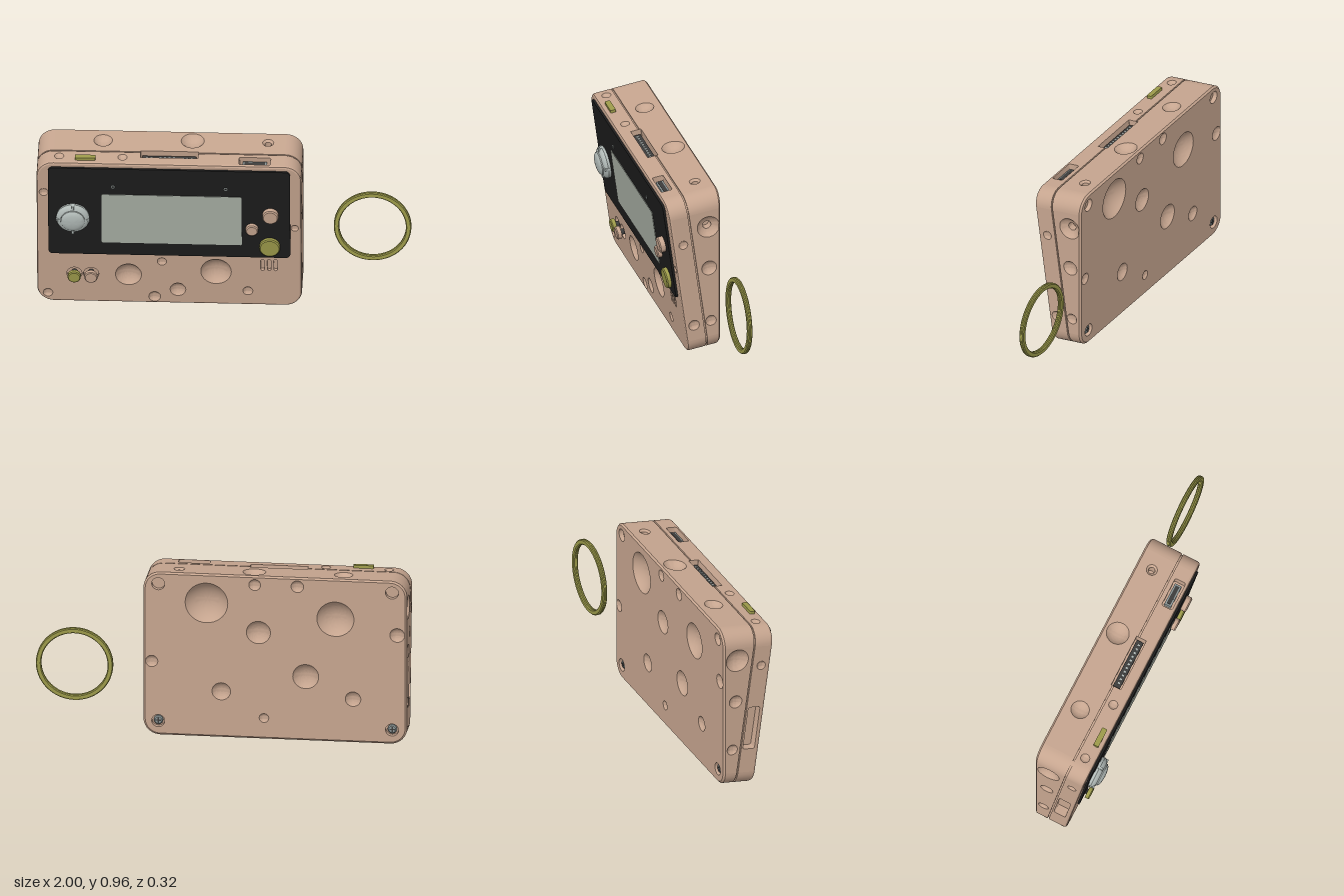
import * as THREE from 'three';
import { toCreasedNormals } from 'three/addons/utils/BufferGeometryUtils.js';

const paint = (name, color, side = THREE.FrontSide) => {
  const m = new THREE.MeshStandardMaterial({ color, side });
  m.name = name;
  return m;
};
const TAN = paint('tan plastic', 0xc6a58f, THREE.DoubleSide);
const BLACK = paint('black panel', 0x1c1c1c);
const SCREEN = paint('grey green screen', 0xa9b0a5);
const OLIVE = paint('olive', 0x9c9a4a);
const GREY = paint('light grey', 0xb2bbb8);
const DARK = paint('dark grey', 0x3c3c3b);
const METAL = paint('metal', 0x8a9494);

// Case outline, in a frame leaning back by TILT: x, v up the face, w out of the face
const TILT = 0.134, Z0 = 0.015, ZBACK = -0.16;
const C = Math.cos(TILT), S = Math.sin(TILT);
const X0 = -1, X1 = 0.42, V1 = 0.935, R = 0.09, N = 10;
const SLOT = [-0.445, -0.135];
const back = (v) => (ZBACK - Z0 - v * S) / C;
const toW = (z, y) => -y * S + (z - Z0) * C;
const toV = (z, y) => y * C + (z - Z0) * S;
const P = (x, y) => new THREE.Vector2(x, y);

function add(parent, name, geo, mat, x = 0, y = 0, z = 0) {
  const m = new THREE.Mesh(geo, mat);
  m.name = name;
  m.position.set(x, y, z);
  parent.add(m);
  return m;
}

function roundRect(x0, y0, x1, y1, r, n = 6) {
  const pts = [];
  [[x1 - r, y0 + r], [x1 - r, y1 - r], [x0 + r, y1 - r], [x0 + r, y0 + r]].forEach(([cx, cy], k) => {
    for (let i = 0; i <= n; i++) {
      const t = (k - 1 + i / n) * Math.PI / 2;
      pts.push(P(cx + r * Math.cos(t), cy + r * Math.sin(t)));
    }
  });
  return pts;
}
const circle = (x, y, r, n = 36) => Array.from({ length: n }, (_, i) =>
  P(x + r * Math.cos(i / n * 2 * Math.PI), y + r * Math.sin(i / n * 2 * Math.PI)));

function outline(inset) {
  const pts = roundRect(X0 + inset, inset, X1 - inset, V1 - inset, R - inset, N);
  pts.splice(2 * N + 2, 0, P(SLOT[1], V1 - inset), P(SLOT[0], V1 - inset));
  return pts;
}

// Surface through closed rings of points
function skin(rings, keep = () => true) {
  const pos = [];
  for (let k = 0; k + 1 < rings.length; k++) {
    const f = rings[k], g = rings[k + 1];
    f.forEach((a, j) => {
      const i = (j + 1) % f.length;
      if (keep(a, f[i])) for (const p of [a, g[j], g[i], a, g[i], f[i]]) pos.push(p.x, p.y, p.z);
    });
  }
  const geo = new THREE.BufferGeometry();
  geo.setAttribute('position', new THREE.Float32BufferAttribute(pos, 3));
  return toCreasedNormals(geo, 0.5);
}
const bodySkin = (levels, keep) => skin(levels.map(([inset, w]) =>
  outline(inset).map((p) => new THREE.Vector3(p.x, p.y, typeof w === 'number' ? w : w(p.y)))), keep);

// Turned part whose axis points out of the face
function turned(profile, n = 36) {
  const g = new THREE.LatheGeometry(profile.map(([r, h]) => P(r, h)), n);
  return toCreasedNormals(g.rotateX(Math.PI / 2), 0.5);
}
const button = (r, h, b = 0.006) => turned([[r, 0], [r, h - b], [r - b, h], [0, h]]);

// Flat panel with round dimples [x, y, radius, inner hole] and straight pits {pts, depth}
function panel(parent, name, pts, dimples = [], pits = []) {
  const g = new THREE.Group();
  g.name = name;
  parent.add(g);
  const shape = new THREE.Shape(pts);
  for (const [x, y, r] of dimples) shape.holes.push(new THREE.Path(circle(x, y, r)));
  for (const p of pits) if (!p.open) shape.holes.push(new THREE.Path(p.pts));
  add(g, name + 'Face', new THREE.ShapeGeometry(shape), TAN);
  for (const [x, y, r, hole = 0] of dimples) {
    const prof = [], d = 0.5 * r, q = (r * r + d * d) / (2 * d);
    for (let i = 0; i <= 10; i++) {
      const t = r + (hole - r) * i / 10;
      prof.push([t, q - d - Math.sqrt(q * q - t * t)]);
    }
    if (hole) prof.push([hole, -0.07], [0, -0.07]);
    add(g, 'dimple', turned(prof), TAN, x, y, 0);
  }
  for (const { pts: hole, depth } of pits) {
    const ring = (z) => [...hole].reverse().map((p) => new THREE.Vector3(p.x, p.y, z));
    add(g, 'recessWall', skin([ring(0), ring(-depth)]), TAN);
    add(g, 'recessFloor', new THREE.ShapeGeometry(new THREE.Shape(hole)), TAN, 0, 0, -depth);
  }
  return g;
}
const plate = (pts, depth) => new THREE.ExtrudeGeometry(new THREE.Shape(pts), { depth, bevelEnabled: false });

function buildCase(root, tilt) {
  const corner = (a, b) => Math.hypot(a.x - b.x, a.y - b.y) < 0.05;
  const rim = (v) => back(v) + 0.01;
  add(tilt, 'frontBevel', bodySkin([[0.012, 0], [0.004, -0.004], [0, -0.014]]), TAN);
  add(tilt, 'frontCorners', bodySkin([[0, -0.014], [0, -0.104]], corner), TAN);
  add(tilt, 'seamGroove', bodySkin([[0, -0.104], [0.008, -0.104], [0.008, -0.112], [0, -0.112]],
    (a, b) => !(a.x === SLOT[1] && b.x === SLOT[0])), TAN);
  add(tilt, 'rearCorners', bodySkin([[0, -0.112], [0, rim]], corner), TAN);
  add(tilt, 'backBevel', bodySkin([[0, rim], [0.01, back]]), TAN);

  // Front face with speaker slots and button wells
  panel(tilt, 'front', outline(0.012), [
    [-0.51, 0.19, 0.07], [-0.04, 0.222, 0.082], [-0.33, 0.282, 0.025], [-0.245, 0.096, 0.042],
    [0.13, 0.096, 0.027], [-0.962, 0.735, 0.024], [0.384, 0.525, 0.02], [-0.37, 0.045, 0.032], [-0.942, 0.058, 0.026],
  ], [
    ...[0.21, 0.245, 0.28].map((x) => ({ pts: roundRect(x - 0.01, 0.235, x + 0.01, 0.31, 0.0099), depth: 0.02 })),
    ...[-0.8, -0.71].map((x) => ({ pts: circle(x, 0.19, 0.041), depth: 0.02 })),
  ]);

  // Left and right sides
  const sideDimples = {
    1: { front: [[0.05, 0.68, 0.025], [-0.01, 0.185, 0.03]],
      rear: [[-0.09, 0.77, 0.062, 0.023], [-0.095, 0.52, 0.042], [-0.105, 0.2, 0.03]] },
    '-1': { front: [[0.06, 0.73, 0.025]], rear: [[-0.08, 0.79, 0.065], [-0.09, 0.54, 0.037], [-0.11, 0.25, 0.03]] },
  };
  for (const s of [1, -1]) {
    const side = new THREE.Group();
    side.name = s > 0 ? 'leftSide' : 'rightSide';
    side.rotation.y = s * Math.PI / 2;
    side.position.x = s > 0 ? X1 : X0;
    tilt.add(side);
    const a = R, b = V1 - R;
    const quad = (...q) => q.map(([w, v]) => P(-s * w, v));
    const dips = (list) => list.map(([z, y, ...r]) => [-s * toW(z, y), toV(z, y), ...r]);
    panel(side, 'sideFront', quad([-0.014, a], [-0.104, a], [-0.104, b], [-0.014, b]), dips(sideDimples[s].front),
      s < 0 ? [{ pts: roundRect(-0.094, 0.23, -0.026, 0.48, 0.01), depth: 0.05 }] : []);
    panel(side, 'sideRear', quad([-0.112, a], [rim(a), a], [rim(b), b], [-0.112, b]), dips(sideDimples[s].rear));
  }

  // Top with sockets
  const xa = X0 + R, xb = X1 - R, [sa, sb] = SLOT;
  const top = new THREE.Group();
  top.name = 'top';
  top.rotation.x = -Math.PI / 2;
  top.position.y = V1;
  tilt.add(top);
  panel(top, 'topFront', [[xa, 0.014], [xb, 0.014], [xb, 0.104], [sb, 0.104], [sb, 0.062], [sa, 0.062],
    [sa, 0.104], [xa, 0.104]].map((p) => P(...p)), [[-0.88, 0.06, 0.025], [-0.54, 0.06, 0.025]], [
    { pts: roundRect(sa, 0.062, sb, 0.12, 0.001, 1), depth: 0.06, open: true },
    { pts: roundRect(0.085, 0.018, 0.255, 0.08, 0.01), depth: 0.05 }]);
  const end = -rim(V1);
  panel(top, 'topRear', [[xa, 0.112], [sa, 0.112], [sa, 0.12], [sb, 0.12], [sb, 0.112], [xb, 0.112], [xb, end],
    [xa, end]].map((p) => P(...p)), [[-0.65, 0.205, 0.05], [-0.17, 0.217, 0.062], [0.235, 0.213, 0.03, 0.018]]);
  add(top, 'edgeConnector', new THREE.BoxGeometry(0.29, 0.04, 0.03), DARK, -0.29, 0.09, -0.04);
  for (let i = 0; i < 11; i++)
    add(top, 'connectorPin', new THREE.BoxGeometry(0.01, 0.012, 0.004), GREY, -0.41 + i * 0.024, 0.088, -0.024);
  add(top, 'socket', new THREE.BoxGeometry(0.13, 0.04, 0.03), METAL, 0.17, 0.05, -0.035);
  add(top, 'socketOpening', new THREE.BoxGeometry(0.11, 0.022, 0.004), DARK, 0.17, 0.05, -0.019);
  add(top, 'topButton', plate(roundRect(-0.795, 0.025, -0.685, 0.055, 0.006), 0.036), OLIVE, 0, 0, -0.02);

  // Bottom
  const bottom = new THREE.Group();
  bottom.name = 'bottom';
  bottom.rotation.x = Math.PI / 2;
  tilt.add(bottom);
  const bar = (w0, w1) => [P(xa, w0), P(xb, w0), P(xb, w1), P(xa, w1)];
  panel(bottom, 'bottomFront', bar(-0.104, -0.014), [[-0.7, -0.055, 0.03], [-0.1, -0.06, 0.025], [0.2, -0.055, 0.028]]);
  panel(bottom, 'bottomRear', bar(rim(0), -0.112), [[-0.5, -0.139, 0.02], [0.05, -0.139, 0.02]]);

  // Upright back with screw wells
  const wells = [[0.34, 0.9], [-0.92, 0.9], [0.34, 0.105], [-0.92, 0.105]];
  const rear = panel(root, 'back', outline(0.01).map((p) => P(-p.x, p.y * C - back(p.y) * S)), [
    [0.08, 0.8, 0.115], [-0.18, 0.915, 0.032], [-0.41, 0.915, 0.034], [-0.2, 0.64, 0.065], [-0.615, 0.735, 0.1],
    [0, 0.29, 0.05], [-0.455, 0.395, 0.07], [-0.23, 0.145, 0.026], [-0.71, 0.275, 0.042],
    [0.375, 0.45, 0.033], [-0.948, 0.655, 0.04],
  ].map(([x, ...d]) => [-x, ...d]), wells.map(([x, y]) => ({ pts: circle(-x, y, 0.035), depth: 0.025 })));
  rear.rotation.y = Math.PI;
  rear.position.z = ZBACK;
  for (const [x, y] of wells.slice(2)) {
    add(rear, 'screw', button(0.025, 0.016), METAL, -x, y, -0.024);
    for (const k of [0, 1])
      add(rear, 'screwCross', new THREE.BoxGeometry(0.03, 0.007, 0.003), DARK, -x, y, -0.008).rotation.z = k * Math.PI / 2;
  }
}

function buildControls(tilt) {
  // Black fascia and screen
  add(tilt, 'fascia', plate(roundRect(-0.938, 0.332, 0.36, 0.908, 0.025), 0.012), BLACK);
  add(tilt, 'screen', plate(roundRect(-0.652, 0.414, 0.1, 0.737, 0.008), 0.003), SCREEN, 0, 0, 0.012);
  for (const x of [-0.59, 0.015])
    add(tilt, 'sensor', new THREE.TorusGeometry(0.008, 0.003, 8, 20), GREY, x, 0.787, 0.012);

  // Domed thumb stick with four grips
  const stick = new THREE.Group();
  stick.name = 'thumbStick';
  stick.position.set(-0.805, 0.582, 0.012);
  tilt.add(stick);
  add(stick, 'stickBase', turned([[0.088, 0], [0.09, 0.014], [0.085, 0.024], [0.072, 0.034], [0.065, 0.036]]), GREY);
  add(stick, 'stickCap', turned([[0.064, 0.03], [0.064, 0.042], [0.055, 0.05], [0.04, 0.055], [0.02, 0.058], [0, 0.059]]), GREY);
  for (let k = 0; k < 4; k++) {
    const t = k * Math.PI / 2;
    add(stick, 'stickGrip', new THREE.BoxGeometry(0.026, 0.012, 0.034), GREY, 0.077 * Math.cos(t), 0.077 * Math.sin(t), 0.018).rotation.z = t;
  }

  // Push buttons
  add(tilt, 'upperButton', button(0.043, 0.044), TAN, 0.255, 0.622, 0);
  add(tilt, 'middleButton', button(0.034, 0.038), TAN, 0.155, 0.526, 0);
  add(tilt, 'largeButton', button(0.056, 0.036), OLIVE, 0.25, 0.41, 0);
  [[-0.8, OLIVE], [-0.71, TAN]].forEach(([x, mat]) => {
    add(tilt, 'smallButtonStem', button(0.016, 0.04), DARK, x, 0.19, -0.02);
    add(tilt, 'smallButton', turned([[0, 0], [0.035, 0], [0.035, 0.02], [0.03, 0.025], [0, 0.025]]), mat, x, 0.19, 0.015);
  });
}

export function createModel() {
  const root = new THREE.Group();
  root.name = 'handheldConsole';
  const tilt = new THREE.Group();
  tilt.name = 'console';
  tilt.rotation.x = TILT;
  tilt.position.z = Z0;
  root.add(tilt);
  buildCase(root, tilt);
  buildControls(tilt);

  // Split key ring: two coils side by side
  const ring = new THREE.Group();
  ring.name = 'keyRing';
  ring.position.set(0.792, 0.412, -0.147);
  root.add(ring);
  const a = 0.179, b = 0.208, h = 0.013, c = 0.005;
  add(ring, 'ringCoils', turned([[a + c, -h], [b - c, -h], [b, -h + c], [b, -0.001], [b - 0.003, 0], [b, 0.001], [b, h - c],
    [b - c, h], [a + c, h], [a, h - c], [a, 0.001], [a + 0.003, 0], [a, -0.001], [a, -h + c], [a + c, -h]], 72), OLIVE);
  return root;
}
